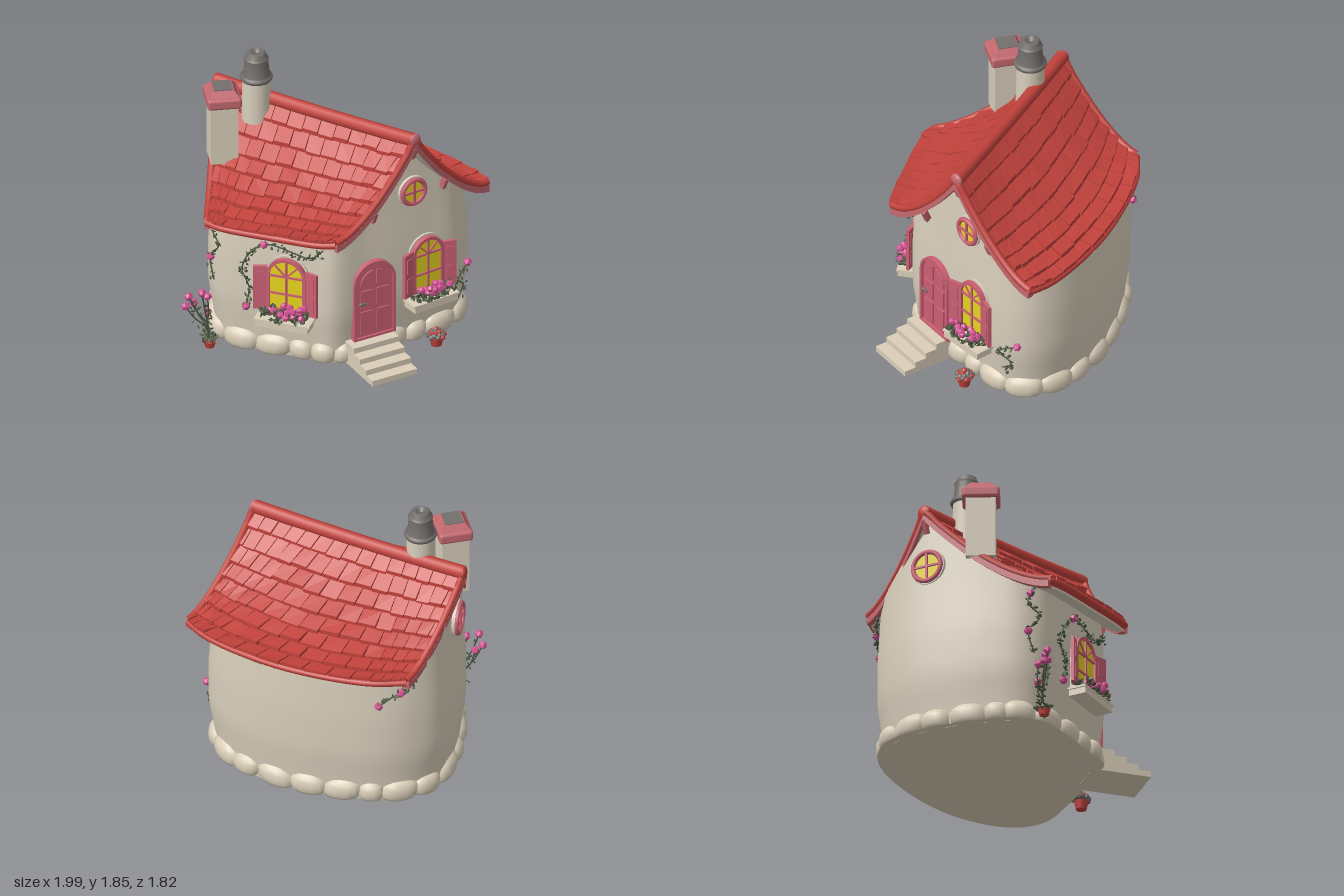
import * as THREE from 'three';
import { mergeGeometries } from 'three/addons/utils/BufferGeometryUtils.js';
import { RoundedBoxGeometry } from 'three/addons/geometries/RoundedBoxGeometry.js';

const V = (x, y, z) => new THREE.Vector3(x, y, z);
const mat = (name, color) => Object.assign(new THREE.MeshStandardMaterial({ color }), { name });
const M = {
  wall: mat('cream plaster', 0xd8cebb), stone: mat('pale stone', 0xdbcfb9), roof: mat('red tile', 0xc2423c),
  pink: mat('pink paint', 0xcc6074), trim: mat('dusty pink trim', 0xc4696f), glass: mat('yellow glass', 0xe6d420),
  grey: mat('dark grey', 0x736f6c), leaf: mat('leaf green', 0x4c5840), bloom: mat('rose pink', 0xd45394),
};
let seed = 7;
const rnd = () => (seed = (seed * 16807) % 2147483647) / 2147483647;
const spread = w => (rnd() - .5) * w;
const lerp = THREE.MathUtils.lerp;

function add(parent, name, geo, material, x = 0, y = 0, z = 0) {
  const m = new THREE.Mesh(geo, material);
  m.name = name;
  m.position.set(x, y, z);
  parent.add(m);
  return m;
}
function sub(parent, name, p, yaw) {
  const g = new THREE.Group();
  g.name = name;
  g.position.copy(p);
  g.rotation.y = yaw;
  parent.add(g);
  return g;
}
const box = (w, h, d) => new THREE.BoxGeometry(w, h, d);

// Flat-shaded solid through a row of closed rings, always facing outward
function loft(rings) {
  const tris = [], n = rings[0].length, o = rings[0][0];
  for (let i = 0; i + 1 < rings.length; i++) for (let j = 0; j < n; j++) {
    const k = (j + 1) % n, a = rings[i], b = rings[i + 1];
    tris.push([a[j], a[k], b[k]], [a[j], b[k], b[j]]);
  }
  for (const [r, flip] of [[rings[0], true], [rings[rings.length - 1], false]]) {
    for (let j = 0; j + 1 < n / 2; j++) {
      const q = [r[j], r[j + 1], r[n - 2 - j], r[n - 1 - j]];
      for (const t of [[q[0], q[1], q[2]], [q[0], q[2], q[3]]]) tris.push(flip ? t.reverse() : t);
    }
  }
  const volume = tris.reduce((s, t) => {
    const [a, b, c] = t.map(p => p.clone().sub(o));
    return s + a.dot(b.cross(c));
  }, 0);
  const g = new THREE.BufferGeometry().setFromPoints(tris.flatMap(t => (volume < 0 ? [t[0], t[2], t[1]] : t)));
  g.computeVertexNormals();
  return g;
}

// Roof surface: side -1 or 1, t from ridge to eave, v from back to front
const eave = {
  '1': new THREE.CatmullRomCurve3([V(0, .98, -.9), V(.22, .97, -.79), V(.64, .95, -.38), V(.93, .94, .1), V(.98, .95, .28)]),
  '-1': new THREE.CatmullRomCurve3([V(-.84, .93, .13), V(-.78, .93, .22), V(-.5, .94, .47), V(-.27, .95, .66), V(-.18, .96, .71)]),
};
const ridge = v => V(lerp(-.52, .41, v), 1.472 + .012 * (2 * v - 1) ** 2 + .02 * v, lerp(-.62, .53, v));
function roofPoint(side, t, v, lift = 0) {
  const r = ridge(v), e = eave[side].getPoint(v), fall = 1 - Math.max(0, 1 - t) ** 1.6;
  return V(lerp(r.x, e.x, t), lerp(r.y, e.y, fall) + lift, lerp(r.z, e.z, t));
}
const samples = [];
for (const s of [-1, 1]) for (let i = 0; i <= 50; i++) for (let j = 0; j <= 50; j++) samples.push(roofPoint(s, i / 50, j / 50));
function roofY(x, z) {
  let best = 9, y = 1;
  for (const p of samples) {
    const d = (p.x - x) ** 2 + (p.z - z) ** 2;
    if (d < best) { best = d; y = p.y; }
  }
  return y;
}

// Rounded wall plan, swelling at mid height
const plan = new THREE.CatmullRomCurve3([[-.14, .585], [.115, .535], [.33, .49], [.53, .437], [.75, .36], [.862, .23], [.88, .06],
  [.79, -.2], [.62, -.43], [.4, -.63], [.15, -.79], [-.05, -.848], [-.25, -.83], [-.42, -.71], [-.58, -.5], [-.7, -.25], [-.755, -.03],
  [-.72, .1], [-.58, .25], [-.42, .38], [-.26, .5]].map(([x, z]) => V(x, 0, z)), true).getSpacedPoints(120).slice(0, 120);
const swell = [[0, .94], [.15, .96], [.35, 1], [.65, 1], [.95, .975], [1.6, .93]];
function wallAt(p, y) {
  const i = Math.max(1, swell.findIndex(s => s[0] >= y)), [a, b] = [swell[i - 1], swell[i]];
  const s = lerp(a[1], b[1], (y - a[0]) / (b[0] - a[0]));
  return V(.05 + (p.x - .05) * s, y, -.1 + (p.z + .1) * s);
}
// Wall point nearest to x, z with its outward yaw
function spot(x, z, y, out = 0) {
  let i = 0;
  plan.forEach((p, k) => { if (Math.hypot(p.x - x, p.z - z) < Math.hypot(plan[i].x - x, plan[i].z - z)) i = k; });
  const a = plan[(i + 117) % 120], b = plan[(i + 3) % 120];
  const yaw = Math.atan2(-(b.z - a.z), b.x - a.x);
  return { yaw, p: wallAt(plan[i], y).add(V(Math.sin(yaw) * out, 0, Math.cos(yaw) * out)) };
}

function buildWalls(g) {
  const pos = [], idx = [], rows = 13;
  for (const p of plan) {
    const q = wallAt(p, 1.1), top = roofY(q.x, q.z) - .03;
    for (let r = 0; r < rows; r++) pos.push(wallAt(p, top * r / (rows - 1)));
  }
  for (let i = 0; i < 120; i++) for (let r = 0; r + 1 < rows; r++) {
    const a = i * rows + r, b = ((i + 1) % 120) * rows + r;
    idx.push(a, b, b + 1, a, b + 1, a + 1);
  }
  const geo = new THREE.BufferGeometry().setFromPoints(pos);
  geo.setIndex(idx);
  geo.computeVertexNormals();
  add(g, 'walls', geo, M.wall);
  const floor = new THREE.ShapeGeometry(new THREE.Shape(plan.map(p => new THREE.Vector2(p.x, p.z))));
  add(g, 'floor', floor.rotateX(Math.PI / 2), M.stone, 0, .002, 0);
  // Foundation boulders
  const f = c => Math.sign(c) * Math.abs(c) ** .88;
  for (let i = 0; i < 120;) {
    const w = Math.min(120 - i, 4 + Math.floor(rnd() * 3)), p = plan[i + Math.floor(w / 2)], s = spot(p.x, p.z, .05, -.035);
    const rock = new THREE.SphereGeometry(1, 14, 10), a = rock.attributes.position, h = .064 + w * .004, lean = spread(.35);
    for (let k = 0; k < a.count; k++) {
      const y = f(a.getY(k));
      a.setXYZ(k, (f(a.getX(k)) + y * lean) * w * .0215, Math.max(-.06, y * h), f(a.getZ(k)) * .085);
    }
    rock.computeVertexNormals();
    if (!(p.z > .45 && p.x > 0 && p.x < .26)) add(g, 'foundationStone', rock, M.stone, s.p.x, .06, s.p.z).rotation.y = s.yaw;
    i += w;
  }
}

function buildRoof(g) {
  const N = [0, .1, .2, .3, .4, .5, .6, .7, .8, .9, 1], back = [...N].reverse();
  const slab = (s, hi, lo, end) => loft(N.map(v => [...N.map(t => roofPoint(s, t * end, v, hi)), ...back.map(t => roofPoint(s, t * end, v, lo))]));
  for (const s of [-1, 1]) {
    add(g, 'roofDeck', slab(s, 0, -.03, 1), M.roof);
    add(g, 'roofLining', slab(s, -.03, -.045, .985), M.wall);
    // Overlapping tiles in staggered rows
    const tiles = [], rows = 8, cols = s > 0 ? 15 : 13;
    for (let r = 0; r < rows; r++) for (let c = 0; c <= cols; c++) {
      const off = r % 2 ? .5 : 0, v0 = Math.max(0, (c - off) / cols), v1 = Math.min(1, (c + 1 - off) / cols);
      if (v1 - v0 < .01) continue;
      const t1 = Math.min(1.015, (r + 1.05 + rnd() * .12) / rows), gap = .002;
      const ring = (t, lift) => [[v0 + gap, lift], [v1 - gap, lift + spread(.01)], [v1 - gap, -.004], [v0 + gap, -.004]].map(([v, y]) => roofPoint(s, t, v, y));
      tiles.push(loft([ring(r / rows, .01), ring(t1, .03 + rnd() * .014)]));
    }
    add(g, 'roofTiles', mergeGeometries(tiles), M.roof);
    add(g, 'eaveRoll', new THREE.TubeGeometry(new THREE.CatmullRomCurve3(N.map(v => roofPoint(s, 1, v, -.003))), 24, .022, 8), M.roof);
  }
  add(g, 'ridgeRoll', new THREE.TubeGeometry(new THREE.CatmullRomCurve3(N.map(v => ridge(v).add(V(0, .012, 0)))), 24, .045, 10), M.roof);
  const knob = (v, nx, nz, m) => {
    const k = ridge(v);
    add(g, 'ridgeEnd', new THREE.SphereGeometry(.046, 14, 10).scale(1, 1, .5), m, k.x, k.y + .012, k.z).rotation.y = Math.atan2(nx, nz);
  };
  knob(1, .34, .94, M.trim);
  knob(0, -.78, -.62, M.roof);
  // Gable boards, edge rolls and beam ends
  for (const [v, nx, nz, beams] of [[1, .34, .94, [[-1, .5], [1, .42], [1, 0]]], [0, -.78, -.62, [[1, 0]]]]) {
    const path = [...back.map(t => roofPoint(-1, t, v)), ...N.slice(1).map(t => roofPoint(1, t, v))];
    add(g, 'gableBoard', loft(path.map(p => [[-.025, -.005], [.018, -.005], [.018, -.05], [-.025, -.05]].map(([o, y]) => V(p.x + nx * o, p.y + y, p.z + nz * o)))), M.trim);
    add(g, 'gableRoll', new THREE.TubeGeometry(new THREE.CatmullRomCurve3(path.map(p => p.clone().add(V(0, .012, 0)))), 40, .023, 8), M.roof);
    for (const [s, t] of beams) {
      const p = roofPoint(s, t, v, -.085);
      const beam = add(g, 'beamEnd', box(.026, .085, .04), M.trim, p.x - nx * .015, p.y, p.z - nz * .015);
      beam.rotation.set(.4, Math.atan2(nx, nz), 0, 'YXZ');
    }
  }
}

const arch = (w, h) => new THREE.Shape().moveTo(-w / 2, 0).lineTo(w / 2, 0).lineTo(w / 2, h - w / 2).absarc(0, h - w / 2, w / 2, 0, Math.PI, false);
const solid = (shape, depth) => new THREE.ExtrudeGeometry(shape, { depth, bevelEnabled: false, curveSegments: 12 });
function archFrame(w, h, b, depth) {
  const s = arch(w, h);
  s.holes.push(new THREE.Path(arch(w - 2 * b, h - 2 * b).getPoints(12).map(p => p.add(new THREE.Vector2(0, b)))));
  return solid(s, depth);
}
// Foliage clusters merged into one mesh each
const scatter = (n, place) => Array.from({ length: n }, (_, i) => place(i));
function blossoms(g, pts, r = .025, material = M.bloom) {
  add(g, 'blossoms', mergeGeometries(pts.map(p => new THREE.IcosahedronGeometry(r, 0).rotateX(rnd() * 3).translate(p.x, p.y, p.z))), material);
}
function leaves(g, pts, r) {
  add(g, 'leaves', mergeGeometries(pts.map(p => new THREE.OctahedronGeometry(r, 0).scale(1, .7, .35)
    .rotateX(rnd() * 3).rotateY(rnd() * 3).rotateZ(rnd() * 3).translate(p.x, p.y, p.z))), M.leaf);
}
function vine(g, pts, blooms, density = 5) {
  const c = new THREE.CatmullRomCurve3(pts), n = pts.length * density;
  add(g, 'vineStem', new THREE.TubeGeometry(c, 20, .005, 5), M.leaf);
  leaves(g, scatter(n, i => c.getPoint(i / n).add(V(spread(.05), spread(.05), spread(.02)))), .018);
  blossoms(g, blooms.map(t => c.getPoint(t)), .029);
}

function archedWindow(g, name, x, z, y, w) {
  const s = spot(x, z, y + .15), win = sub(g, name, s.p.setY(y), s.yaw), h = .385;
  add(win, 'surround', solid(arch(w + .03, h + .012), .03), M.wall, 0, 0, -.022);
  add(win, 'pane', solid(arch(w - .02, h - .01), .008), M.glass, 0, 0, .018);
  add(win, 'frame', archFrame(w, h, .021, .055), M.pink, 0, 0, -.015);
  add(win, 'mullion', box(.012, h - .03, .014), M.pink, 0, h / 2, .03);
  for (const ty of [.13, h - w / 2]) add(win, 'crossBar', box(w - .03, .012, .014), M.pink, 0, ty, .03);
  for (const a of [-1, 1]) {
    add(win, 'fanBar', box(.009, w / 2, .012), M.pink, a * w * .17, h - w / 2 + w * .17, .03).rotation.z = -a * .78;
    const sh = sub(win, 'shutter', V(a * (w / 2 - .005), 0, .025), -a * .3);
    add(sh, 'shutterBoard', box(.09, .31, .022), M.pink, a * .046, .16, 0);
    for (const py of [.09, .23]) add(sh, 'shutterPanel', box(.05, .1, .032), M.pink, a * .046, py, 0);
  }
  add(win, 'sill', box(w + .04, .02, .05), M.stone, 0, -.005, .015);
  add(win, 'flowerBox', box(w + .09, .05, .12), M.stone, 0, -.055, .065);
  add(win, 'boxLip', box(w + .11, .014, .13), M.stone, 0, -.032, .065);
  leaves(win, scatter(60, () => V(spread(w + .05), -.02 + rnd() * .06, .03 + rnd() * .11)), .028);
  blossoms(win, scatter(16, () => V(spread(w + .02), .015 + rnd() * .055, .06 + rnd() * .08)));
  return win;
}
function roundWindow(g, x, z, y, r) {
  const s = spot(x, z, y, .008), win = sub(g, 'roundWindow', s.p, s.yaw);
  add(win, 'surround', new THREE.CylinderGeometry(r + .018, r + .024, .05, 24).rotateX(Math.PI / 2), M.wall, 0, 0, -.02);
  add(win, 'pane', new THREE.CircleGeometry(r, 24), M.glass, 0, 0, .012);
  add(win, 'frame', new THREE.TorusGeometry(r - .002, .016, 8, 28), M.pink, 0, 0, .012);
  add(win, 'uprightBar', box(.013, 2 * r - .02, .014), M.pink, 0, 0, .017);
  add(win, 'crossBar', box(2 * r - .02, .013, .014), M.pink, 0, 0, .017);
}

function buildDoor(g) {
  const d = sub(g, 'door', spot(.11, .535, .35).p.setY(.15), .19);
  add(d, 'doorLeaf', solid(arch(.28, .54), .035), M.pink, 0, 0, -.015);
  add(d, 'doorFrame', archFrame(.3, .55, .018, .07), M.pink, 0, 0, -.035);
  for (const a of [-1, 1]) {
    for (const [y, h] of [[.12, .16], [.29, .12]]) add(d, 'doorPanel', box(.085, h, .012), M.pink, a * .058, y, .024);
    const top = new THREE.Shape().moveTo(a * .015, 0).lineTo(a * .1, 0).lineTo(a * .1, .02)
      .quadraticCurveTo(a * .09, .09, a * .015, .105);
    add(d, 'topPanel', solid(top, .01), M.pink, 0, .385, .02);
  }
  add(d, 'doorHandle', new THREE.SphereGeometry(.014, 10, 8), M.grey, -.105, .265, .035);
  add(d, 'doorHandleBar', box(.045, .012, .012), M.grey, -.09, .265, .04);
  const steps = sub(g, 'steps', V(.16, 0, .875), .18);
  for (let i = 0; i < 4; i++) add(steps, 'step', box(.325, .038 * (i + 1), .39 - .08 * i), M.stone, 0, .019 * (i + 1), -.195 - .04 * i);
}

function buildChimneys(g) {
  const c = sub(g, 'squareChimney', V(-.6, 0, -.27), -.18);
  add(c, 'stack', box(.175, .42, .19), M.wall, 0, 1.355, 0);
  add(c, 'cap', new RoundedBoxGeometry(.22, .075, .24, 2, .02), M.trim, 0, 1.585, 0);
  add(c, 'capTop', new THREE.CylinderGeometry(.095, .14, .045, 4, 1).toNonIndexed().rotateY(Math.PI / 4), M.trim, 0, 1.638, 0).geometry.computeVertexNormals();
  add(c, 'capPlate', box(.12, .008, .125), M.grey, 0, 1.661, 0);
  const r = sub(g, 'roundChimney', V(-.355, 0, -.325), 0);
  add(r, 'stack', new THREE.CylinderGeometry(.088, .093, .3, 20), M.wall, 0, 1.5, 0);
  const pot = [[0, 1.64], [.1, 1.64], [.106, 1.655], [.1, 1.67], [.085, 1.675], [.075, 1.78], [.08, 1.785], [.077, 1.795],
    [.066, 1.8], [.062, 1.825], [.05, 1.835], [.022, 1.835], [.02, 1.81], [0, 1.81]];
  add(r, 'chimneyPot', new THREE.LatheGeometry(pot.map(([x, y]) => new THREE.Vector2(x, y)), 20), M.grey);
}

function buildPlants(g, leftWindow) {
  // Climbing roses on the walls
  vine(leftWindow, [V(-.27, -.01, .02), V(-.25, .14, .02), V(-.3, .24, .01), V(-.25, .38, .02), V(-.13, .47, .025), V(.04, .44, .025), V(.16, .42, .03), V(.25, .5, .03)], [0, .55], 9);
  const climb = pts => pts.map(([x, z, y]) => spot(x, z, y, .02).p);
  vine(g, climb([[-.74, .05, .45], [-.755, 0, .6], [-.74, .07, .72], [-.755, .02, .8], [-.74, .05, .92]]), [.25, .9]);
  vine(g, climb([[.76, .35, .2], [.79, .33, .28], [.75, .36, .35], [.82, .3, .42]]), [1]);
  vine(g, climb([[-.1, -.86, .93], [0, -.85, .87], [.08, -.83, .83], [.14, -.8, .77]]), [1, .4]);
  // Rose bush beside the left corner
  for (const [x, y, z] of [[-.95, .39, .1], [-.965, .31, .08], [-.83, .38, .12], [-.81, .23, .06], [-.9, .31, .05], [-.86, .4, .1]]) {
    vine(g, [V(-.81, .02, .1), V(-.82, y * .4, .09), V(lerp(-.82, x, .6), y * .7, z), V(x, y, z)], [1], 2);
  }
  leaves(g, scatter(16, () => V(-.81 + spread(.1), .04 + rnd() * .04, .1 + spread(.1))), .024);
  add(g, 'bushPot', new THREE.CylinderGeometry(.04, .03, .04, 10), M.roof, -.81, .02, .1);
  // Potted flower by the steps
  add(g, 'flowerPot', new THREE.CylinderGeometry(.046, .034, .055, 12), M.roof, .55, .028, .54);
  const dome = scatter(26, i => {
    const q = Math.sqrt(i / 26) * .056;
    return V(.55 + Math.cos(i * 2.4) * q, .115 - q * .8, .54 + Math.sin(i * 2.4) * q);
  });
  blossoms(g, dome.filter((_, i) => i % 3), .019, M.grey);
  blossoms(g, dome.filter((_, i) => i % 3 === 0), .019, M.roof);
}

export function createModel() {
  const g = new THREE.Group();
  g.name = 'cottage';
  buildWalls(g);
  buildRoof(g);
  buildChimneys(g);
  buildDoor(g);
  const leftWindow = archedWindow(g, 'leftWindow', -.38, .41, .355, .26);
  archedWindow(g, 'rightWindow', .505, .445, .37, .235);
  roundWindow(g, .43, .46, 1.1, .086);
  roundWindow(g, -.5, -.6, 1.13, .1);
  buildPlants(g, leftWindow);
  return g;
}
